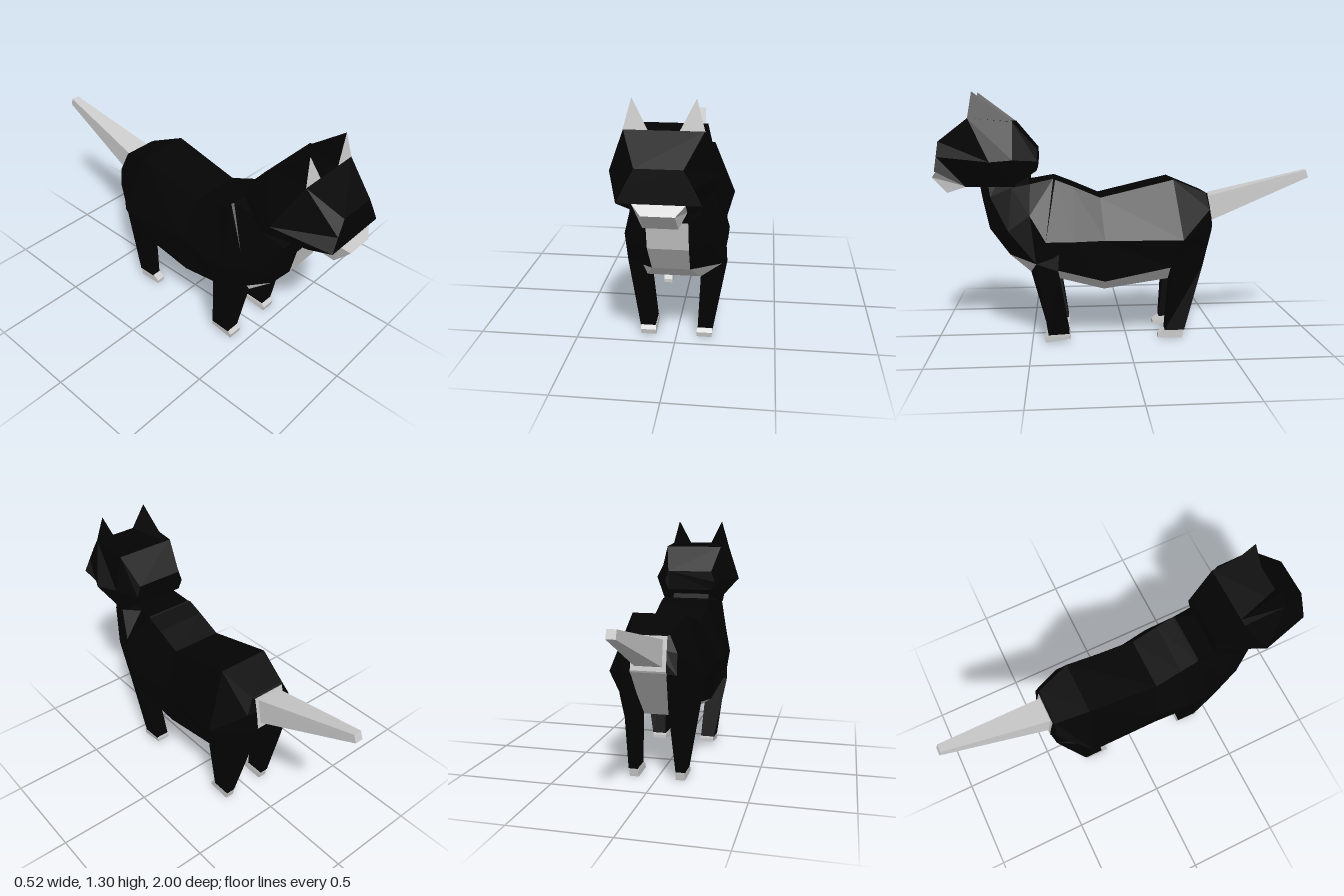
import * as THREE from 'three';

const black = new THREE.MeshStandardMaterial({ color: 0x030303, flatShading: true });
const grey = new THREE.MeshStandardMaterial({ color: 0xcccccc, flatShading: true });

// Flat-shaded mesh from a list of corner points, three per triangle
function facets(name, corners, material) {
  const geometry = new THREE.BufferGeometry();
  geometry.setAttribute('position', new THREE.Float32BufferAttribute(corners.flat(), 3));
  geometry.computeVertexNormals();
  const mesh = new THREE.Mesh(geometry, material);
  mesh.name = name;
  return mesh;
}

// Skin a row of rings; isGrey(ring, side) sends a face to the grey mesh (caps use side -1)
function loft(name, rings, isGrey) {
  const dark = [], light = [], n = rings[0].length, last = rings.length - 1;
  for (let i = 0; i < last; i++) {
    for (let j = 0; j < n; j++) {
      const k = (j + 1) % n;
      const a = rings[i][j], b = rings[i][k], c = rings[i + 1][k], d = rings[i + 1][j];
      (isGrey(i, j) ? light : dark).push(a, b, c, a, c, d);
    }
  }
  for (let k = 1; k < n - 1; k++) {
    const f = rings[0], r = rings[last];
    (isGrey(0, -1) ? light : dark).push(f[0], f[k + 1], f[k]);
    (isGrey(last, -1) ? light : dark).push(r[0], r[k], r[k + 1]);
  }
  const group = new THREE.Group();
  group.name = name;
  if (dark.length) group.add(facets(name + 'Dark', dark, black));
  if (light.length) group.add(facets(name + 'Light', light, grey));
  return group;
}

// Flip points to the other side, reversed so faces still point outward
const flip = (points) => points.map(([x, y, z]) => [-x, y, z]).reverse();
// Complete a half section into a full ring
const mirror = (half) => [...half, ...flip(half)];

export function createModel() {
  const model = new THREE.Group();
  const allDark = () => false, allLight = () => true;

  // Body: sections from neck to rump, each top, side, lower side, underside
  const body = [
    [[0.10, 0.95, 0.52], [0.13, 0.92, 0.62], [0.11, 0.90, 0.72], [0.09, 0.85, 0.76]],
    [[0.11, 0.83, 0.50], [0.175, 0.82, 0.59], [0.15, 0.77, 0.70], [0.095, 0.74, 0.74]],
    [[0.13, 0.86, 0.38], [0.215, 0.68, 0.50], [0.20, 0.60, 0.61], [0.095, 0.60, 0.71]],
    [[0.14, 0.855, 0.37], [0.255, 0.55, 0.42], [0.23, 0.435, 0.47], [0.09, 0.46, 0.61]],
    [[0.14, 0.82, 0.28], [0.255, 0.55, 0.28], [0.23, 0.40, 0.36], [0.13, 0.375, 0.50]],
    [[0.14, 0.76, 0.14], [0.23, 0.55, 0.12], [0.20, 0.33, 0.12], [0.11, 0.27, 0.12]],
    [[0.14, 0.85, -0.24], [0.255, 0.55, -0.28], [0.21, 0.40, -0.22], [0.11, 0.32, -0.22]],
    [[0.10, 0.775, -0.42], [0.14, 0.69, -0.435], [0.14, 0.58, -0.445], [0.092, 0.59, -0.455]],
    [[0.09, 0.77, -0.43], [0.09, 0.70, -0.445], [0.09, 0.64, -0.455], [0.09, 0.60, -0.46]],
  ].map(mirror);
  model.add(loft('body', body, (i, j) =>
    (j === 3 && i >= 1) || ((j === 2 || j === 4) && i >= 3 && i <= 5) || (j === -1 && i > 0)));

  // Head: sections from face to back of skull, widest at the cheeks
  const head = [
    [[0.10, 1.05, 0.96], [0.14, 0.975, 0.965], [0.175, 0.905, 0.97]],
    [[0.17, 1.168, 0.80], [0.26, 0.955, 0.69], [0.13, 0.82, 0.82]],
    [[0.165, 1.15, 0.58], [0.21, 0.96, 0.58], [0.18, 0.825, 0.58]],
    [[0.13, 1.01, 0.46], [0.15, 0.95, 0.46], [0.13, 0.90, 0.465]],
  ].map(mirror);
  model.add(loft('head', head, allDark));

  // Muzzle
  model.add(loft('muzzle', [
    [[0.07, 0.865, 1.0], [0.075, 0.785, 0.925]],
    [[0.112, 0.907, 0.968], [0.10, 0.82, 0.82]],
  ].map(mirror), allLight));

  // Tail
  model.add(loft('tail', [
    [[0.07, 0.75, -0.42], [0.07, 0.62, -0.45]],
    [[0.022, 0.885, -0.985], [0.022, 0.845, -1.0]],
  ].map(mirror), allLight));

  // Ear: grey inside, dark back
  const inner = [0.065, 1.165, 0.80], outer = [0.172, 1.165, 0.80];
  const back = [0.13, 1.15, 0.58], tip = [0.135, 1.30, 0.78];

  // Leg and paw sections, top to bottom: back inner, back outer, front outer, front inner
  const limbs = {
    FrontLeg: [
      [[0.10, 0.55, 0.34], [0.24, 0.55, 0.35], [0.22, 0.54, 0.44], [0.10, 0.50, 0.50]],
      [[0.13, 0.38, 0.36], [0.25, 0.40, 0.36], [0.23, 0.435, 0.47], [0.13, 0.375, 0.50]],
      [[0.108, 0.05, 0.305], [0.185, 0.05, 0.305], [0.185, 0.045, 0.415], [0.108, 0.045, 0.415]],
    ],
    HindLeg: [
      [[0.09, 0.58, -0.45], [0.14, 0.58, -0.445], [0.225, 0.55, -0.27], [0.10, 0.55, -0.25]],
      [[0.088, 0.39, -0.405], [0.14, 0.39, -0.40], [0.215, 0.40, -0.23], [0.088, 0.33, -0.225]],
      [[0.10, 0.045, -0.305], [0.15, 0.045, -0.305], [0.15, 0.045, -0.20], [0.10, 0.045, -0.20]],
    ],
    FrontPaw: [
      [[0.106, 0.052, 0.303], [0.182, 0.052, 0.303], [0.182, 0.047, 0.417], [0.106, 0.047, 0.417]],
      [[0.104, 0.04, 0.30], [0.182, 0.04, 0.30], [0.182, 0.03, 0.435], [0.104, 0.03, 0.435]],
      [[0.104, 0.022, 0.30], [0.18, 0.022, 0.30], [0.18, 0.004, 0.43], [0.104, 0.004, 0.43]],
    ],
    HindPaw: [
      [[0.10, 0.05, -0.303], [0.148, 0.05, -0.303], [0.148, 0.05, -0.198], [0.10, 0.05, -0.198]],
      [[0.098, 0.03, -0.30], [0.147, 0.03, -0.30], [0.147, 0.025, -0.165], [0.098, 0.025, -0.165]],
      [[0.098, 0, -0.295], [0.147, 0, -0.295], [0.147, 0.005, -0.165], [0.098, 0.005, -0.165]],
    ],
  };

  for (const side of ['left', 'right']) {
    const place = (points) => (side === 'left' ? points : flip(points));
    model.add(facets(side + 'EarInside', place([inner, outer, tip]), grey));
    model.add(facets(side + 'EarBack', place([outer, back, tip, back, inner, tip]), black));
    for (const [name, rings] of Object.entries(limbs)) {
      model.add(loft(side + name, rings.map(place), name.endsWith('Paw') ? allLight : allDark));
    }
  }
  return model;
}
